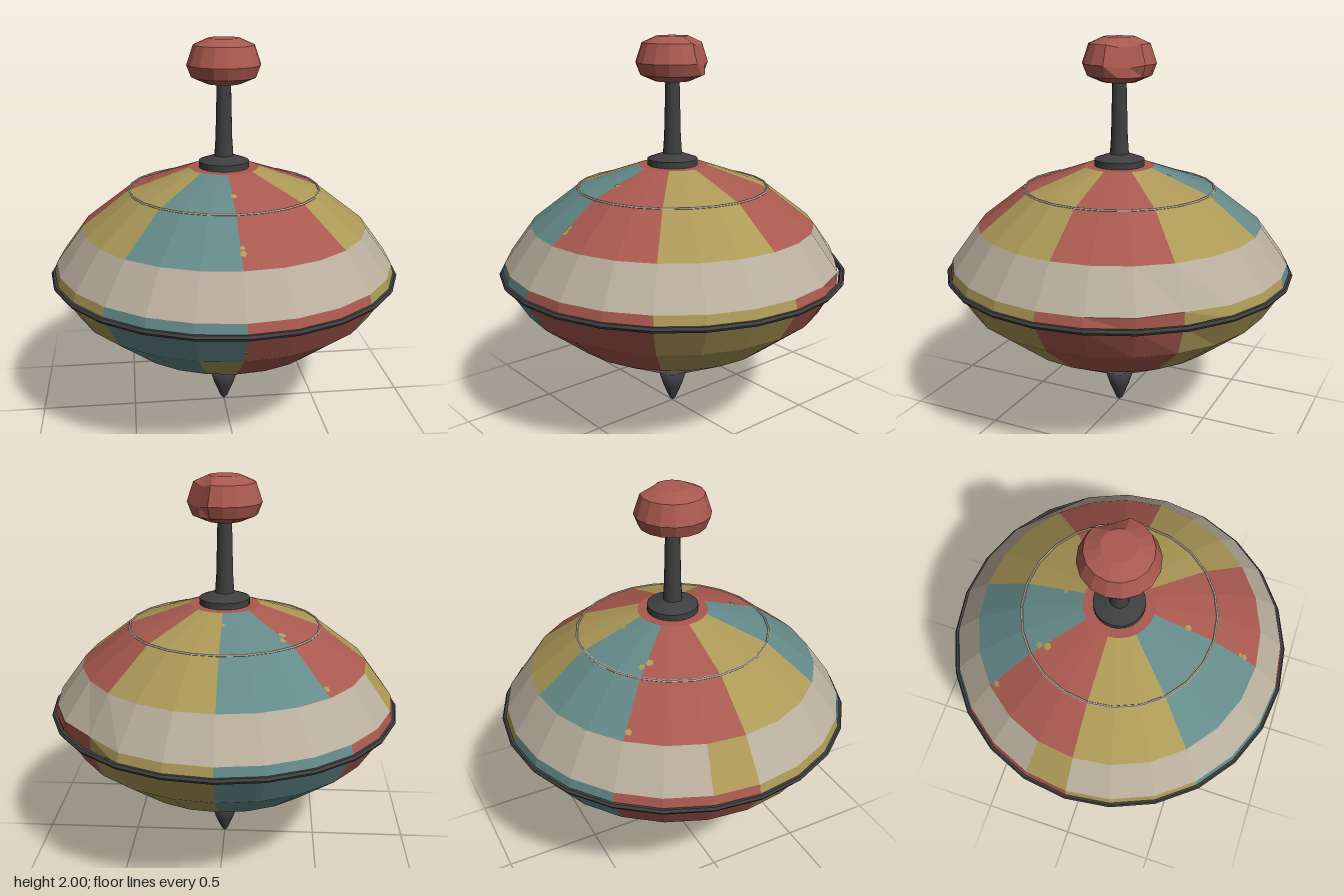
import * as THREE from 'three';

const mat = (name, color) => {
  const m = new THREE.MeshStandardMaterial({ color });
  m.name = name;
  return m;
};

export function createModel() {
  const group = new THREE.Group();
  const red = mat('worn red', 0xa9594f);
  const yellow = mat('ochre yellow', 0xac9957);
  const blue = mat('faded teal', 0x648a89);
  const cream = mat('cream', 0xb9ae9d);
  const dark = mat('dark iron', 0x3f3f40);

  const add = (name, geometry, material) => {
    const mesh = new THREE.Mesh(geometry, material);
    mesh.name = name;
    group.add(mesh);
    return mesh;
  };
  const flat = (g) => {
    const f = g.index ? g.toNonIndexed() : g;
    f.computeVertexNormals();
    return f;
  };
  const lathe = (points, sides) =>
    new THREE.LatheGeometry(points.map(([r, y]) => new THREE.Vector2(r, y)), sides);

  // Faceted body: 24 sides, painted in eight sectors of three facets
  const SIDES = 24;
  const profile = [[0.08, 0.19], [0.55, 0.44], [0.79, 0.63], [0.896, 0.8],
    [0.88, 0.86], [0.74, 1.05], [0.5, 1.235], [0.18, 1.35], [0, 1.352]];
  const sectors = [yellow, red, blue, yellow, red, blue, yellow, red];
  const bands = [cream, null, null, null, cream, null, null, red];
  const point = (j, i) => {
    let [r, y] = profile[j];
    const k = i % SIDES;
    // Dent in the rim
    if (j === 3 && k === 21) { r -= 0.045; y -= 0.02; }
    if (j === 3 && k === 22) { r -= 0.02; y -= 0.01; }
    if (j === 4 && k === 21) r -= 0.025;
    const a = (k / SIDES) * Math.PI * 2;
    return new THREE.Vector3(r * Math.cos(a), y, r * Math.sin(a));
  };
  const paintAt = (j, i) => {
    if (j === 4 && i === 12) return yellow; // bare facet in the cream band
    if (j === 1 && i === 6) return yellow; // bare facet underneath
    return bands[j] || sectors[Math.floor(i / 3)];
  };
  const buckets = new Map();
  for (let j = 0; j < profile.length - 1; j++) {
    for (let i = 0; i < SIDES; i++) {
      const paint = paintAt(j, i);
      if (!buckets.has(paint)) buckets.set(paint, []);
      const a = point(j, i), b = point(j + 1, i), c = point(j + 1, i + 1), d = point(j, i + 1);
      const tris = profile[j + 1][0] === 0 ? [a, b, d] : [a, b, c, a, c, d];
      buckets.get(paint).push(...tris);
    }
  }
  for (const [paint, points] of buckets) {
    add('body ' + paint.name, flat(new THREE.BufferGeometry().setFromPoints(points)), paint);
  }

  // Small paint chips beside the sector seams: band, facet, across, up, size
  const chips = [[5, 6, -0.06, 0.3, 0.03], [6, 5, 0.93, 0.45, 0.03], [5, 5, 0.95, 0.4, 0.022],
    [6, 15, 0.12, 0.2, 0.03], [6, 14, 0.85, 0.3, 0.035], [5, 14, 0.92, 0.15, 0.03],
    [6, 17, 0.9, 0.7, 0.02], [2, 5, 0.96, 0.4, 0.02]];
  for (const [j, facet, across, up, size] of chips) {
    const i = across < 0 ? facet - 1 : facet;
    const u = across < 0 ? 1 + across : across;
    const a = point(j, i), b = point(j + 1, i), c = point(j + 1, i + 1), d = point(j, i + 1);
    const normal = b.clone().sub(a).cross(d.clone().sub(a)).normalize();
    const chip = add('paint chip', new THREE.CircleGeometry(size * 0.6, 5), yellow);
    chip.position.copy(a.lerp(b, up).lerp(d.lerp(c, up), u)).addScaledVector(normal, 0.003);
    chip.quaternion.setFromUnitVectors(new THREE.Vector3(0, 0, 1), normal);
  }

  // Rim hoop and the thin ring on the shoulder
  const hoop = (name, radius, tube, y, material) => {
    const g = new THREE.TorusGeometry(radius, tube, 6, SIDES);
    g.rotateX(Math.PI / 2);
    add(name, flat(g), material).position.y = y;
  };
  hoop('rimHoop', 0.897, 0.015, 0.8, dark);
  hoop('shoulderRing', 0.494, 0.007, 1.237, cream);

  // Spinning point
  add('tip', lathe([[0, 0], [0.018, 0.02], [0.052, 0.1], [0.08, 0.19], [0, 0.19]], 20), dark);

  // Collar and stem
  add('collar', flat(lathe([[0.13, 1.345], [0.13, 1.383], [0.06, 1.408], [0.045, 1.412]], 24)), dark);
  add('stem', lathe([[0.05, 1.4], [0.043, 1.5], [0.036, 1.79]], 16), dark);

  // Knob with a chipped side
  const knob = lathe([[0, 1.775], [0.09, 1.778], [0.165, 1.81], [0.188, 1.87],
    [0.155, 1.967], [0.08, 2], [0, 2]], 16);
  const pos = knob.attributes.position;
  for (let i = 0; i < pos.count; i++) {
    const x = pos.getX(i), y = pos.getY(i), z = pos.getZ(i);
    const off = Math.abs(Math.atan2(z, x) + 0.55);
    if (Math.hypot(x, z) > 0.12 && y > 1.85 && off < 0.3) {
      pos.setXYZ(i, x * 0.86, y - 0.012, z * 0.86);
    }
  }
  add('knob', flat(knob), red);

  return group;
}
